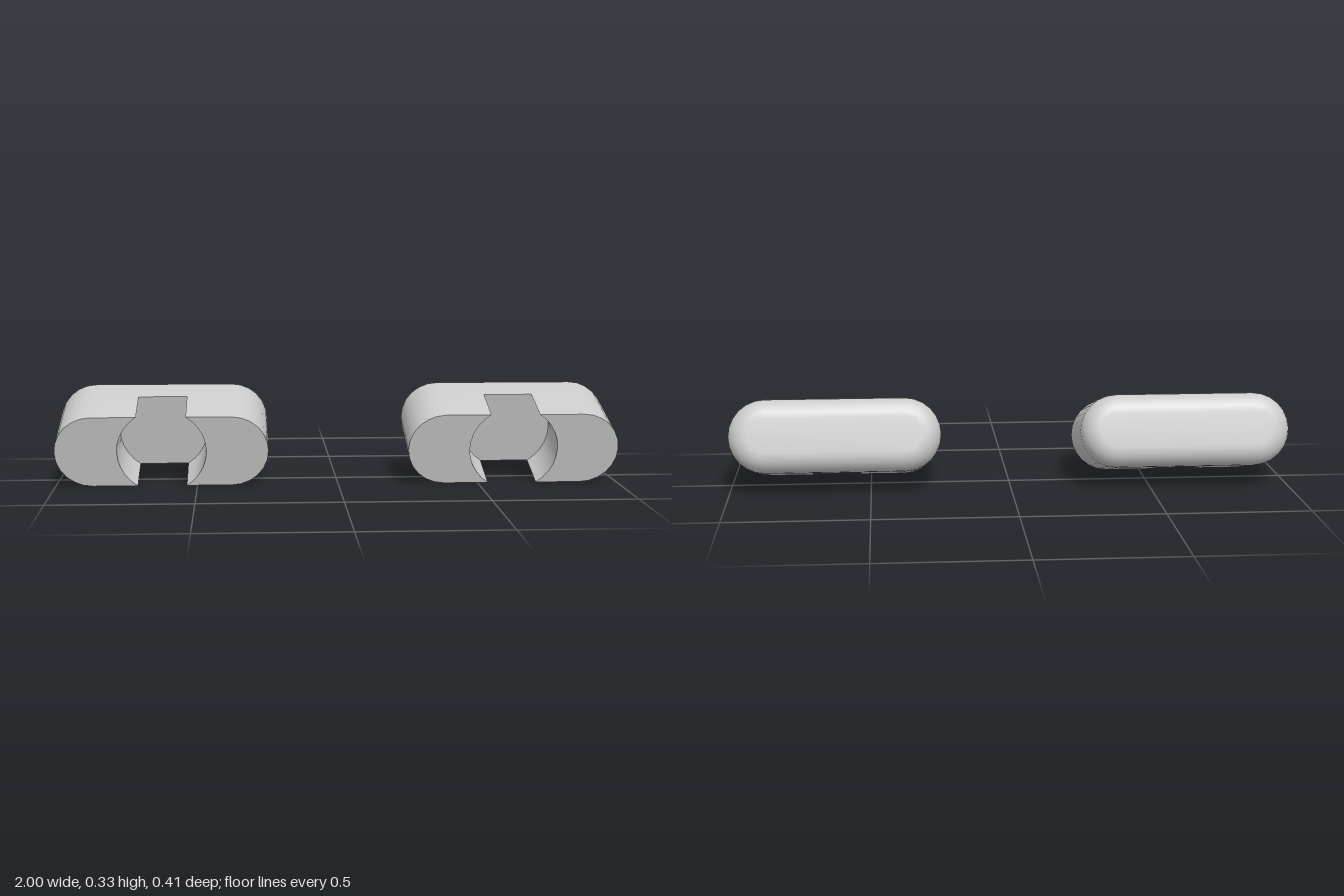
import * as THREE from 'three';
import { mergeGeometries, toCreasedNormals } from 'three/addons/utils/BufferGeometryUtils.js';

const R = 0.131;          // half height = end radius
const L = 0.245;          // half length of the straight part
const POCKET_R = 0.157;   // pocket radius, wider than the block is tall
const POCKET_D = 0.194;   // pocket depth
const DEPTH = 0.371;      // block depth
const FILLET = 0.066;     // rear edge rounding
const TILT = THREE.MathUtils.degToRad(15);

// Points on an arc, from angle a0 to a1
function arc(cx, r, a0, a1, n) {
  return Array.from({ length: n + 1 }, (_, i) => {
    const a = a0 + ((a1 - a0) * i) / n;
    return new THREE.Vector2(cx + r * Math.cos(a), r * Math.sin(a));
  });
}

const turn = (points) => points.map((p) => new THREE.Vector2(-p.x, -p.y));

// Long outline with round ends, counter-clockwise
function stadium(r) {
  const end = arc(L, r, -Math.PI / 2, Math.PI / 2, 12);
  return [...end, ...turn(end)];
}

// Wall through rings of { points, z } ordered front to back
function wall(rings) {
  const pos = [];
  for (let k = 0; k < rings.length - 1; k++) {
    const a = rings[k], b = rings[k + 1], n = a.points.length;
    for (let i = 0; i < n; i++) {
      const j = (i + 1) % n;
      const v = (ring, m) => [ring.points[m].x, ring.points[m].y, ring.z];
      pos.push(...v(a, i), ...v(b, i), ...v(a, j), ...v(a, j), ...v(b, i), ...v(b, j));
    }
  }
  const g = new THREE.BufferGeometry();
  g.setAttribute('position', new THREE.Float32BufferAttribute(pos, 3));
  return g;
}

// Flat face at z, facing front or back
function face(points, z, back = false) {
  const g = new THREE.ShapeGeometry(new THREE.Shape(points)).toNonIndexed();
  g.deleteAttribute('uv');
  g.deleteAttribute('normal');
  if (back) g.rotateY(Math.PI);
  return g.translate(0, 0, z);
}

function footGeometry() {
  const parts = [];
  const open = Math.asin(R / POCKET_R);

  // Two jaws beside the pocket
  const jaw = [
    ...arc(L, R, -Math.PI / 2, Math.PI / 2, 12),
    ...arc(0, POCKET_R, open, -open, 10),
  ];
  for (const points of [jaw, turn(jaw)]) {
    parts.push(face(points, 0), wall([{ points, z: 0 }, { points, z: -POCKET_D }]));
  }

  // Pocket floor
  const side = arc(0, POCKET_R, -open, open, 10);
  parts.push(face([...side, ...turn(side)], -POCKET_D));

  // Solid rear with rounded edge
  const rings = [{ points: stadium(R), z: -POCKET_D }];
  for (let i = 0; i <= 6; i++) {
    const a = (i / 6) * Math.PI / 2;
    rings.push({
      points: stadium(R - FILLET * (1 - Math.cos(a))),
      z: -(DEPTH - FILLET + FILLET * Math.sin(a)),
    });
  }
  parts.push(wall(rings), face(stadium(R - FILLET), -DEPTH, true));

  return toCreasedNormals(mergeGeometries(parts), 0.5);
}

export function createModel() {
  const model = new THREE.Group();
  model.name = 'feet';
  const geometry = footGeometry();
  const material = new THREE.MeshStandardMaterial({ color: 0xcccccc });

  // A matching pair, tipped down towards the front
  for (const s of [1, -1]) {
    const foot = new THREE.Mesh(geometry, material);
    foot.name = s > 0 ? 'leftFoot' : 'rightFoot';
    foot.position.set(s * 0.624, R * Math.cos(TILT), 0.173);
    foot.rotation.x = TILT;
    model.add(foot);
  }
  return model;
}
